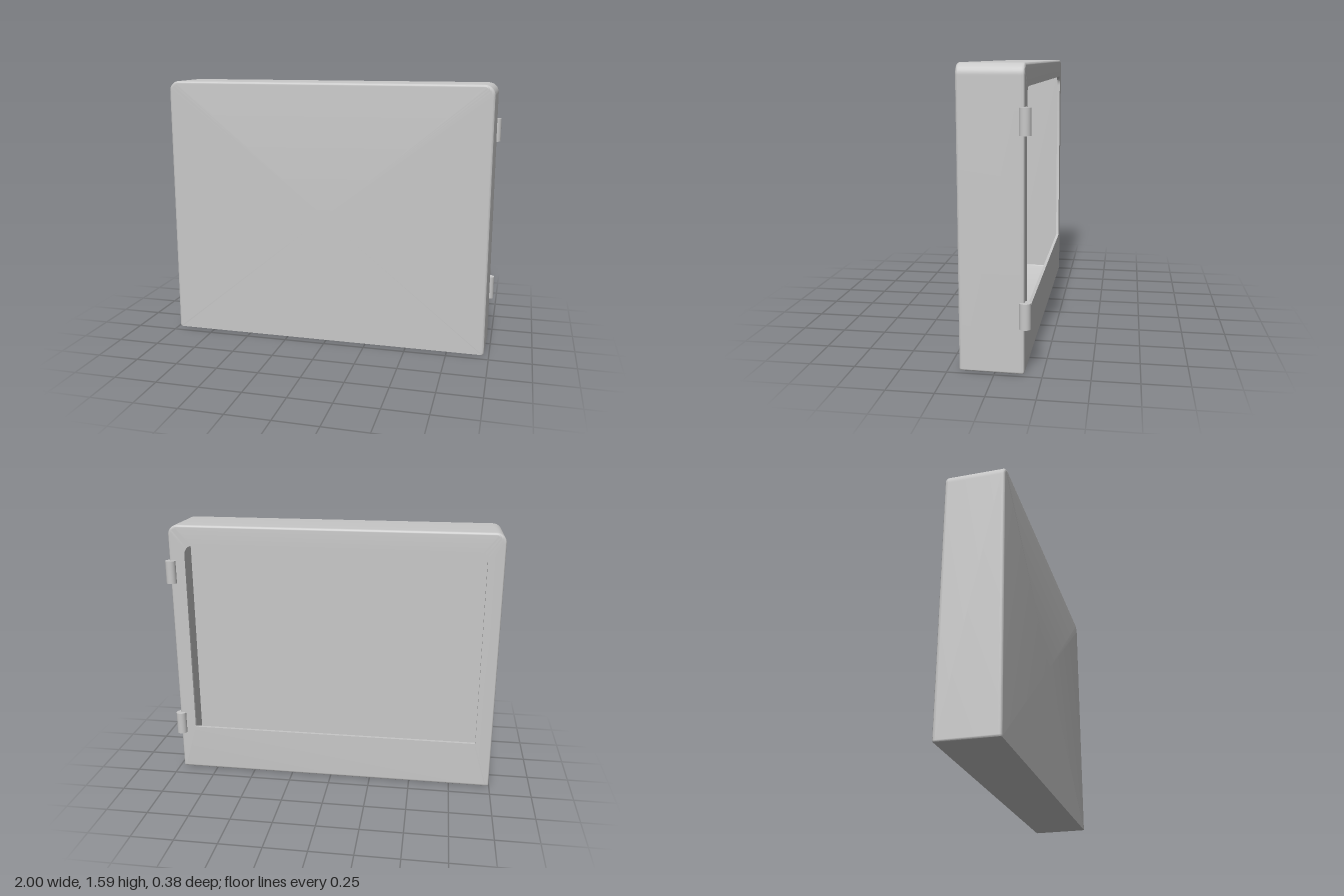
import * as THREE from 'three';
import { toCreasedNormals } from 'three/addons/utils/BufferGeometryUtils.js';

const CORNER_STEPS = 8;
const EDGE = 0.004; // narrow strip beside each rounding that keeps flat faces flat

// Counter-clockwise loop of a rectangle with rounded corners at depth z
function roundedLoop(x0, x1, y0, y1, rTop, rBottom, z) {
  const corners = [
    [x1 - rBottom, y0 + rBottom, rBottom, -Math.PI / 2],
    [x1 - rTop, y1 - rTop, rTop, 0],
    [x0 + rTop, y1 - rTop, rTop, Math.PI / 2],
    [x0 + rBottom, y0 + rBottom, rBottom, Math.PI],
  ];
  const loop = [];
  for (const [cx, cy, r, start] of corners) {
    const add = (angle, slide) => loop.push(new THREE.Vector3(
      cx + r * Math.cos(angle) - slide * Math.sin(angle),
      cy + r * Math.sin(angle) + slide * Math.cos(angle), z));
    add(start, -EDGE);
    for (let i = 0; i <= CORNER_STEPS; i++) add(start + (i / CORNER_STEPS) * Math.PI / 2, 0);
    add(start + Math.PI / 2, EDGE);
  }
  return loop;
}

// A loop shrunk to its middle, closing an end of the skin
function closingLoop(loop) {
  const centre = new THREE.Box3().setFromPoints(loop).getCenter(new THREE.Vector3());
  return loop.map(() => centre);
}

// Skin joining successive loops, leaving out empty triangles
function skin(loops) {
  const positions = [];
  const triangle = (a, b, c) => {
    if (new THREE.Triangle(a, b, c).getArea() < 1e-9) return;
    for (const p of [a, b, c]) positions.push(p.x, p.y, p.z);
  };
  for (let k = 0; k < loops.length - 1; k++) {
    const a = loops[k], b = loops[k + 1];
    for (let i = 0; i < a.length; i++) {
      const j = (i + 1) % a.length;
      triangle(a[i], b[i], b[j]);
      triangle(a[i], b[j], a[j]);
    }
  }
  const geometry = new THREE.BufferGeometry();
  geometry.setAttribute('position', new THREE.Float32BufferAttribute(positions, 3));
  return toCreasedNormals(geometry, 0.6);
}

export function createModel() {
  const group = new THREE.Group();
  const grey = new THREE.MeshStandardMaterial({ color: 0xc8c8c8 });
  grey.name = 'grey';

  const front = 0.19, back = -0.156, fillet = 0.014, steps = 4;
  const frontSides = [-0.993, 0.97], backSides = [-0.998, 0.976];
  const outline = ([x0, x1], inset, bottomInset, z) => roundedLoop(
    x0 + inset, x1 - inset, bottomInset, 1.59 - inset, 0.06 - inset, 0.008, z);

  // Front panel with a filleted rim
  const loops = [outline(frontSides, fillet + EDGE, EDGE, front)];
  loops.unshift(closingLoop(loops[0]));
  for (let i = 0; i <= steps; i++) {
    const a = (i / steps) * Math.PI / 2;
    loops.push(outline(frontSides, fillet * (1 - Math.sin(a)), 0, front - fillet * (1 - Math.cos(a))));
  }

  // Sides
  loops.push(outline(frontSides, 0, 0, front - fillet - EDGE));
  loops.push(outline(backSides, 0, 0, back + fillet + EDGE));

  // Filleted rear rim
  for (let i = 0; i <= steps; i++) {
    const a = (i / steps) * Math.PI / 2;
    const inset = fillet * (1 - Math.cos(a));
    loops.push(outline(backSides, inset, inset, back + fillet * (1 - Math.sin(a))));
  }
  loops.push(outline(backSides, fillet + EDGE, fillet + EDGE, back));

  // Rear opening in a thin border, leading into the hollow inside of a thin shell
  const wall = 0.022, lip = back + 0.018;
  for (const z of [back, lip]) loops.push(roundedLoop(-0.9, 0.88, 0.288, 1.472, 0.06, 0.005, z));
  for (const z of [lip, front - wall]) {
    loops.push(roundedLoop(-0.97, 0.95, wall, 1.59 - wall, 0.045, 0.005, z));
  }
  loops.push(closingLoop(loops[loops.length - 1]));

  const housing = new THREE.Mesh(skin(loops), grey);
  housing.name = 'housing';
  group.add(housing);

  // Hinge knuckles on the rear left edge
  const knuckle = new THREE.CylinderGeometry(0.031, 0.031, 0.138, 32);
  [['lowerHinge', 0.317], ['upperHinge', 1.307]].forEach(([name, y]) => {
    const hinge = new THREE.Mesh(knuckle, grey);
    hinge.name = name;
    hinge.position.set(0.969, y, -0.158);
    group.add(hinge);
  });

  return group;
}
